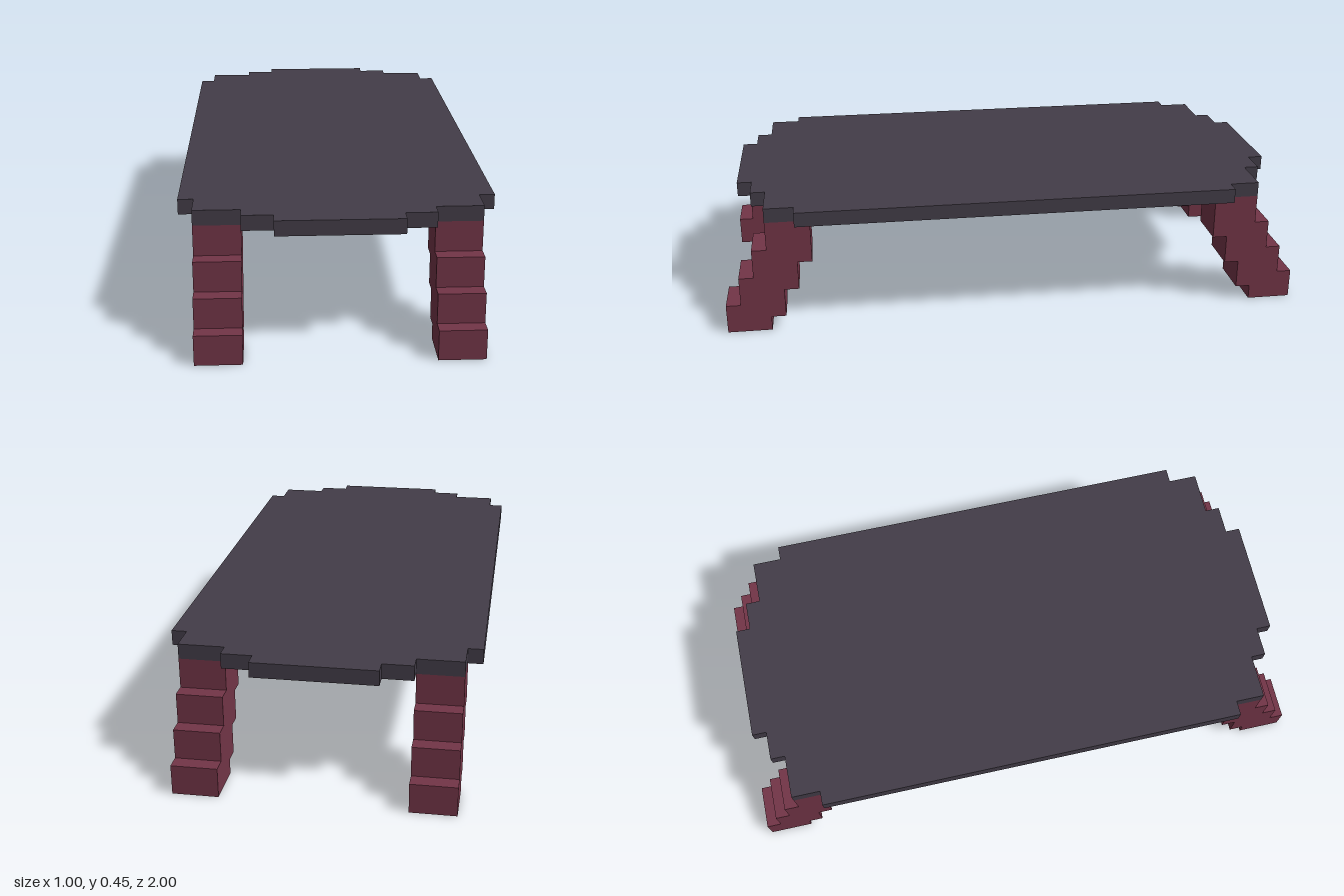
import * as THREE from 'three';

const toShape = (pts) => new THREE.Shape(pts.map(([x, y]) => new THREE.Vector2(x, y)));
const extrude = (pts, depth) =>
  new THREE.ExtrudeGeometry(toShape(pts), { depth, bevelEnabled: false });

export function createModel() {
  const group = new THREE.Group();
  const slate = new THREE.MeshStandardMaterial({ name: 'dark slate', color: 0x433d48 });
  const maroon = new THREE.MeshStandardMaterial({ name: 'maroon', color: 0x733547 });

  // Tabletop: one stepped corner mirrored into the full outline
  const corner = [[0.5, 0.75], [0.45, 0.75], [0.45, 0.85], [0.3, 0.85],
    [0.3, 0.9], [0.2, 0.9], [0.2, 0.95]];
  const half = [...corner, ...corner.map(([x, z]) => [-x, z]).reverse()];
  const outline = [...half, ...half.map(([x, z]) => [-x, -z])];
  const topGeometry = extrude(outline, 0.05);
  topGeometry.rotateX(-Math.PI / 2);
  const tabletop = new THREE.Mesh(topGeometry, slate);
  tabletop.name = 'tabletop';
  tabletop.position.y = 0.4;
  group.add(tabletop);

  // Leg: stepped side profile (z, y) leaning outward to the foot
  const profile = [[0.85, 0], [1, 0]];
  for (let i = 0; i < 4; i++) {
    const z = 1 - i * 0.05;
    if (i > 0) profile.push([z, i * 0.1]);
    profile.push([z, (i + 1) * 0.1]);
  }
  profile.push([0.7, 0.4]);
  for (let i = 0; i < 3; i++) {
    const y = 0.25 - i * 0.1;
    profile.push([0.7 + i * 0.05, y], [0.75 + i * 0.05, y]);
  }
  const legGeometry = extrude(profile, 0.15);
  legGeometry.rotateY(-Math.PI / 2);
  legGeometry.translate(0.075, 0, 0);

  // Front pair, then the same pair turned around for the back
  for (const end of ['front', 'back']) {
    const pair = new THREE.Group();
    pair.name = `${end}Legs`;
    for (const x of [-0.375, 0.375]) {
      const leg = new THREE.Mesh(legGeometry, maroon);
      leg.name = `${end}Leg`;
      leg.position.x = x;
      pair.add(leg);
    }
    if (end === 'back') pair.rotation.y = Math.PI;
    group.add(pair);
  }
  return group;
}
